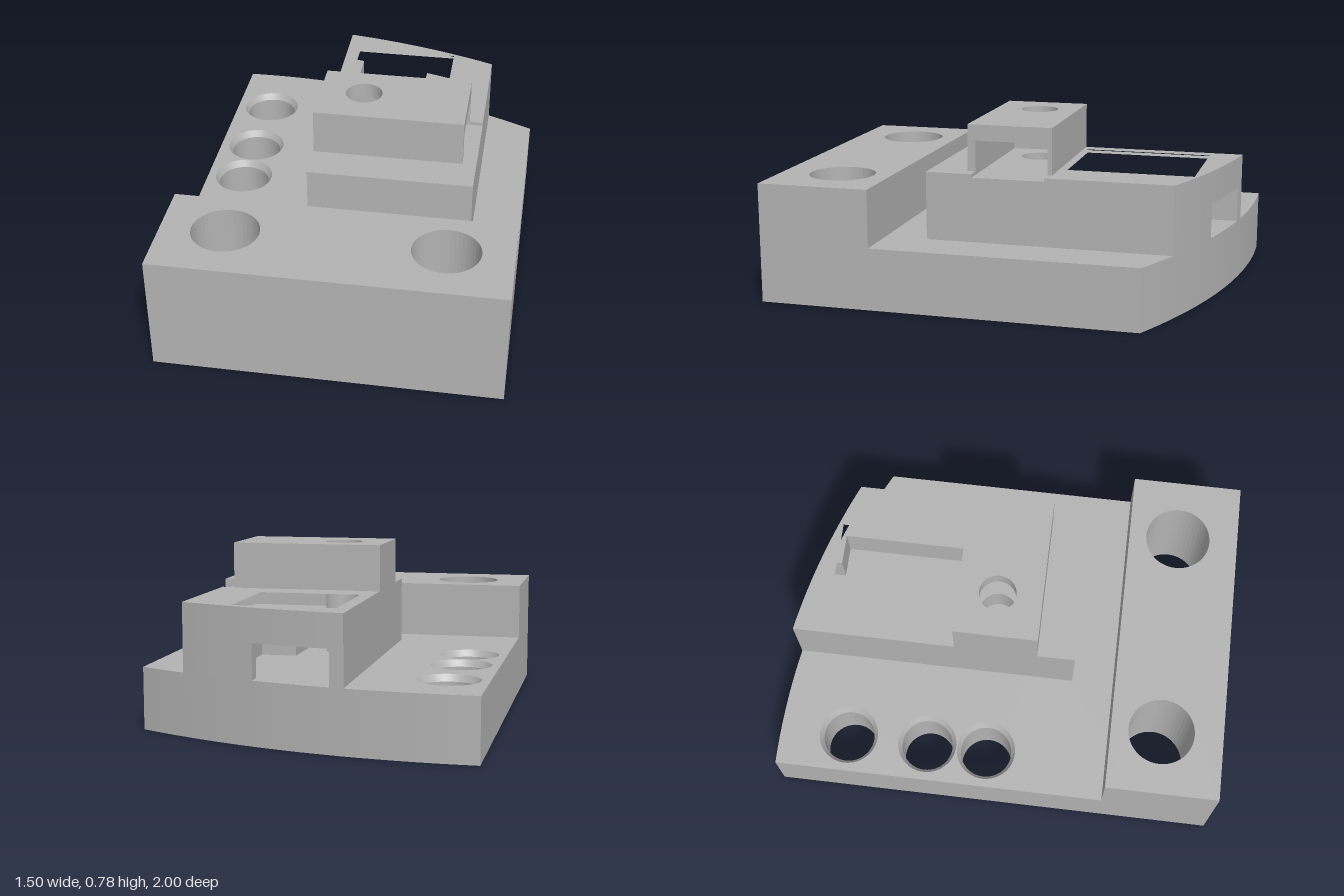
import * as THREE from 'three';
import { toCreasedNormals } from 'three/addons/utils/BufferGeometryUtils.js';

const SEG = 48;
const grey = new THREE.MeshStandardMaterial({ color: 0xb3b3b3 });
grey.name = 'grey plastic';

// Curved back edge: z of the arc at a given x
const ARC_X = -0.65, ARC_R = 3.18;
const backZ = (x) => -1 + ARC_R - Math.sqrt(ARC_R * ARC_R - (x - ARC_X) ** 2);
function backArc(x0, x1, n = 16) {
  return Array.from({ length: n + 1 }, (_, i) => {
    const x = x0 + ((x1 - x0) * i) / n;
    return [x, backZ(x)];
  });
}

const toV = (pts) => pts.map(([x, z]) => new THREE.Vector2(x, -z));
const rect = (x0, x1, z0, z1) => [[x0, z0], [x1, z0], [x1, z1], [x0, z1]];
const circle = (x, z, r) => Array.from({ length: SEG }, (_, i) => {
  const a = (i / SEG) * Math.PI * 2;
  return [x + r * Math.sin(a), z + r * Math.cos(a)];
});

// Upright slab from a plan outline [x, z] with holes, between two heights
function slab(name, outline, holes, y0, y1) {
  const shape = new THREE.Shape(toV(outline));
  shape.holes = holes.map((h) => new THREE.Path(toV(h)));
  const geo = new THREE.ExtrudeGeometry(shape, { depth: y1 - y0, bevelEnabled: false });
  geo.rotateX(-Math.PI / 2).translate(0, y0, 0);
  const mesh = new THREE.Mesh(geo, grey);
  mesh.name = name;
  return mesh;
}

// Inward-facing hole lining; profile [r, y] runs from top to bottom
function lining(name, x, z, profile) {
  const pts = profile.map(([r, y]) => new THREE.Vector2(r, y));
  const geo = toCreasedNormals(new THREE.LatheGeometry(pts, SEG), 0.4);
  const mesh = new THREE.Mesh(geo, grey);
  mesh.position.set(x, 0, z);
  mesh.name = name;
  return mesh;
}

export function createModel() {
  const model = new THREE.Group();
  model.name = 'mountingBracket';

  const W = 0.75, BASE = 0.275;
  const mountHoles = [-0.47, 0.465].map((x) => circle(x, 0.725, 0.147));
  const sideZ = [-0.685, -0.32, -0.048];
  const sideX = -0.58, sideR = 0.134, sideInner = 0.116;
  const boltX = 0, boltZ = -0.06, boltR = 0.083, sinkR = 0.175;

  // Base plate with curved back
  model.add(slab('basePlate',
    [...backArc(-W, W, 24), [W, 1], [-W, 1]],
    [...mountHoles, ...sideZ.map((z) => circle(sideX, z, sideR)), circle(boltX, boltZ, sinkR)],
    0, BASE));

  // Raised front bar
  model.add(slab('frontBar', rect(-W, W, 0.5, 1), mountHoles, BASE, 0.53));

  // Chamfered side holes and countersunk bolt hole
  for (const z of sideZ) {
    model.add(lining('sideHole', sideX, z,
      [[sideR, BASE], [sideInner, BASE - 0.03], [sideInner, 0.03], [sideR, 0]]));
  }
  model.add(lining('boltCountersink', boltX, boltZ,
    [[sinkR, BASE], [boltR, BASE], [boltR, 0.09], [sinkR, 0]]));

  // Housing: lower layer with back slot, pocket and inner channel
  const L = -0.2, R = 0.535, F = 0.31;
  const pL = -0.14, pR = 0.34, pB = -0.825, pF = -0.255, sR = 0.2;
  model.add(slab('housingLower', [
    ...backArc(L, pL, 2), [pL, 0.1], [0.18, 0.1], [0.18, pF], [pR, pF], [pR, pB], [sR, pB],
    ...backArc(sR, R, 6), [R, F], [L, F],
  ], [], BASE, 0.43));

  // Housing: middle layer
  const pocket = rect(pL, pR, pB, pF);
  const bolt = circle(boltX, boltZ, boltR);
  const back = backArc(L, R, 12);
  model.add(slab('housingMiddle', [...back, [R, F], [L, F]], [pocket, bolt], 0.43, 0.56));

  // Housing: top layer, notched for the nut slot
  const nB = -0.215, nF = 0.105, nL = -0.16;
  const notch = (x) => [[x, nB], [nL, nB], [nL, nF], [x, nF]];
  model.add(slab('housingTop', [...back, ...notch(R), [R, F], [L, F]], [pocket], 0.56, 0.575));

  // Upper block with side nut slot and its roof
  const uR = 0.473, uB = -0.235, uF = 0.14;
  model.add(slab('nutBlock',
    [[L, uB], [uR, uB], ...notch(uR), [uR, uF], [L, uF]], [], 0.575, 0.71));
  model.add(slab('nutBlockRoof', rect(L, uR, uB, uF), [bolt], 0.71, 0.78));

  return model;
}
